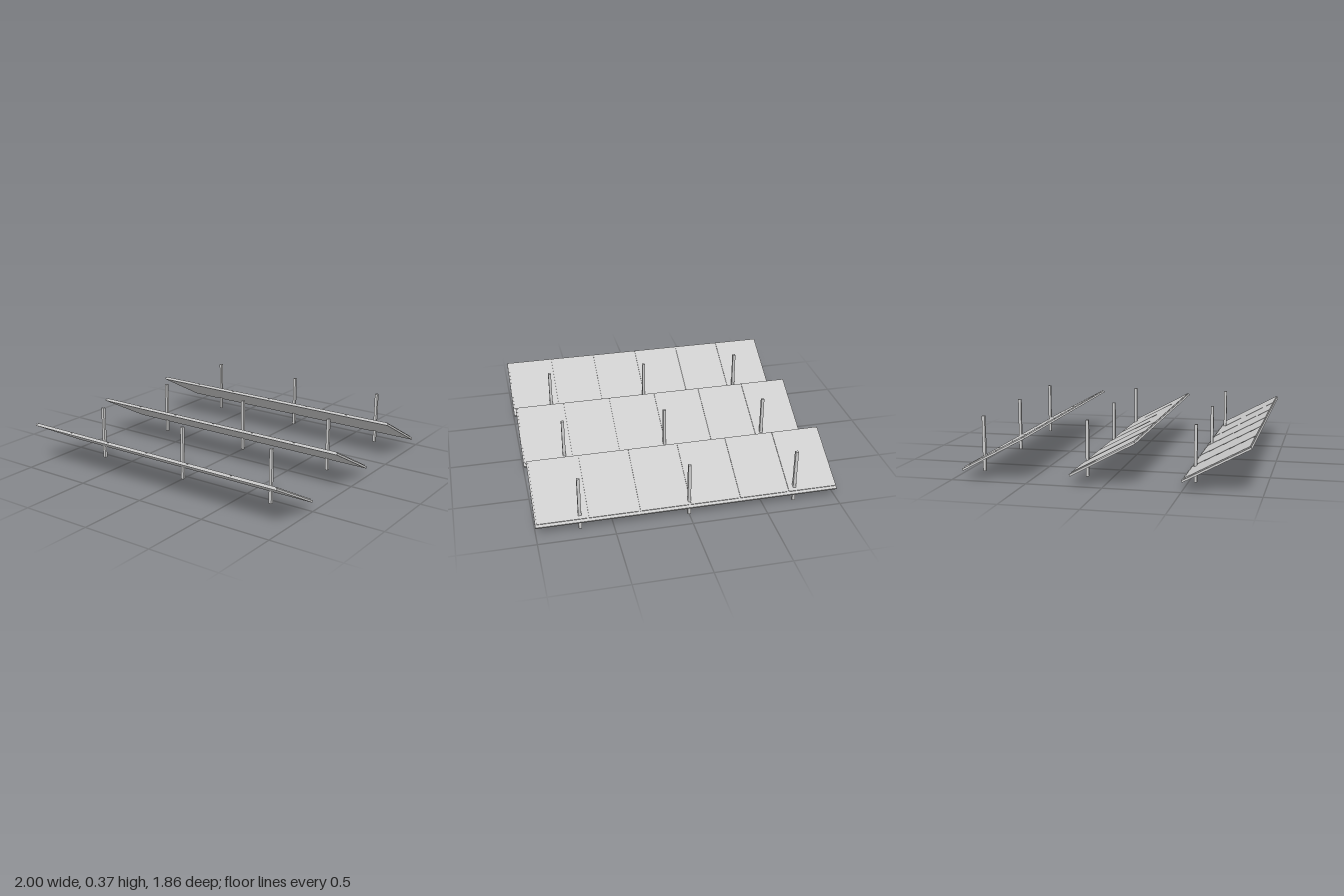
import * as THREE from 'three';

export function createModel() {
  const model = new THREE.Group();
  model.name = 'solarArray';

  const grey = new THREE.MeshStandardMaterial({ color: 0xcccccc });
  grey.name = 'lightGrey';

  const TILT = THREE.MathUtils.degToRad(28.4);
  const LENGTH = 0.48, BASE = 0.014, PANEL = 0.006;
  const PANEL_WIDTH = 0.319, PITCH = 0.3323;
  const MARGIN_FRONT = 0.005, MARGIN_BACK = 0.02;

  const box = (name, w, h, d, x, y, z, parent) => {
    const mesh = new THREE.Mesh(new THREE.BoxGeometry(w, h, d), grey);
    mesh.name = name;
    mesh.position.set(x, y, z);
    parent.add(mesh);
  };

  for (const rowZ of [-0.714, 0, 0.714]) {
    const row = new THREE.Group();
    row.name = 'panelRow';
    row.position.z = rowZ;
    model.add(row);

    // Tilted table: high edge at the front, low edge at the back
    const table = new THREE.Group();
    table.name = 'tiltedTable';
    table.position.y = 0.183;
    table.rotation.x = -TILT;
    row.add(table);
    box('backingBoard', 2, BASE, LENGTH, 0, 0, 0, table);

    // Six thin panels lying on the board
    for (let i = 0; i < 6; i++) {
      box('panel', PANEL_WIDTH, PANEL, LENGTH - MARGIN_FRONT - MARGIN_BACK,
        (i - 2.5) * PITCH, (BASE + PANEL) / 2, (MARGIN_BACK - MARGIN_FRONT) / 2, table);
    }

    // Square posts passing through the board near its low edge
    for (const x of [-0.714, 0, 0.714]) {
      box('post', 0.02, 0.374, 0.02, x, 0.187, -0.17, row);
    }
  }
  return model;
}
